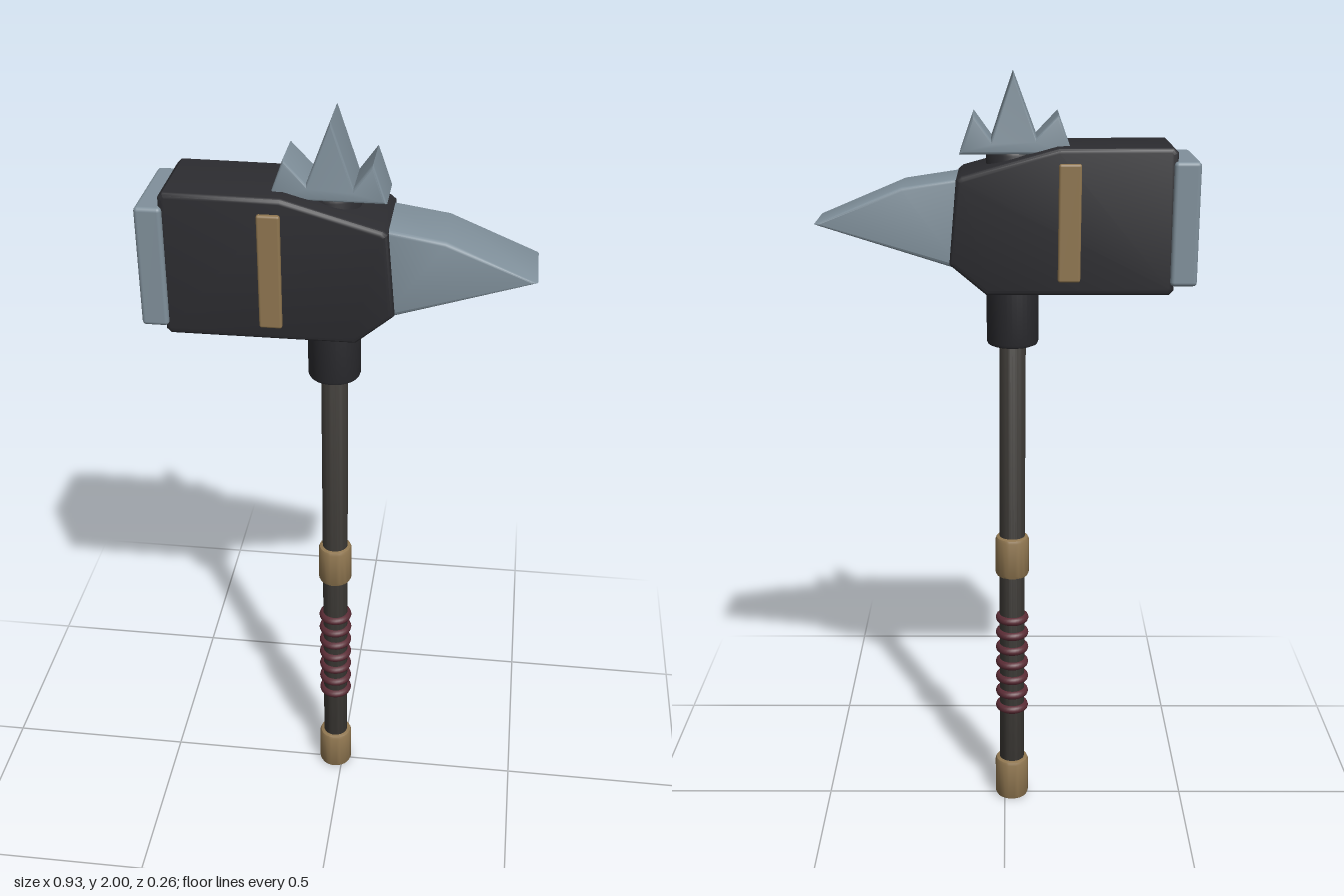
import * as THREE from 'three';
import { toCreasedNormals } from 'three/addons/utils/BufferGeometryUtils.js';
import { RoundedBoxGeometry } from 'three/addons/geometries/RoundedBoxGeometry.js';

const AXIS = -0.02; // x of the shaft

const paint = (color) => new THREE.MeshStandardMaterial({ color });

export function createModel() {
  const model = new THREE.Group();
  const iron = paint(0x2c2c30), steel = paint(0x80909b), brass = paint(0x8f7650);
  const wood = paint(0x3d3a36), leather = paint(0x5a2c35);

  const add = (name, geometry, material, x = 0, y = 0, z = 0) => {
    const mesh = new THREE.Mesh(geometry, material);
    mesh.name = name;
    mesh.position.set(x, y, z);
    model.add(mesh);
    return mesh;
  };

  // Upright round bar with softened rims
  const bar = (name, r, y0, y1, material, b = 0.008) => {
    const profile = [[0, y0], [r - b, y0], [r - b * 0.3, y0 + b * 0.3], [r, y0 + b],
      [r, y1 - b], [r - b * 0.3, y1 - b * 0.3], [r - b, y1], [0, y1]]
      .map(([x, y]) => new THREE.Vector2(x, y));
    const geometry = toCreasedNormals(new THREE.LatheGeometry(profile, 32), 0.6);
    return add(name, geometry, material, AXIS);
  };

  // Side profile extruded along z, bevelled inside its outline
  const slab = (name, points, halfDepth, bevel, material) => {
    const shape = new THREE.Shape(points.map(([x, y]) => new THREE.Vector2(x, y)));
    const geometry = new THREE.ExtrudeGeometry(shape, {
      depth: 2 * (halfDepth - bevel), bevelEnabled: true, bevelThickness: bevel,
      bevelSize: bevel, bevelOffset: -bevel, bevelSegments: 3,
    });
    geometry.translate(0, 0, bevel - halfDepth);
    return add(name, toCreasedNormals(geometry, 0.6), material);
  };

  // Shaft and its fittings
  bar('shaft', 0.034, 0.01, 1.4, wood);
  bar('pommel', 0.046, 0, 0.12, brass, 0.01);
  bar('shaftBand', 0.045, 0.68, 0.795, brass, 0.01);
  bar('collar', 0.066, 1.325, 1.815, iron, 0.01);

  // Leather grip rings
  for (let i = 0; i < 7; i++) {
    const ring = add('gripRing', new THREE.TorusGeometry(0.033, 0.012, 10, 32), leather,
      AXIS, 0.283 + i * 0.045);
    ring.rotation.x = Math.PI / 2;
  }

  // Hammer head
  slab('head', [[-0.415, 1.487], [-0.403, 1.475], [0.045, 1.475], [0.135, 1.55],
    [0.117, 1.755], [0.105, 1.765], [-0.13, 1.83], [-0.403, 1.832], [-0.415, 1.82]],
  0.118, 0.012, iron);

  // Striking plate
  add('strikingPlate', new RoundedBoxGeometry(0.065, 0.3, 0.26, 3, 0.01), steel, -0.437, 1.65);

  // Trim plates on both cheeks
  for (const side of [1, -1]) {
    add('cheekTrim', new RoundedBoxGeometry(0.055, 0.285, 0.03, 3, 0.006), brass,
      -0.157, 1.652, side * 0.114);
  }

  // Rear spike
  slab('spike', [[0.105, 1.535], [0.125, 1.538], [0.465, 1.645], [0.25, 1.735], [0.105, 1.757]],
    0.092, 0.01, steel);

  // Crown of three points
  slab('crown', [[-0.165, 1.81], [0.11, 1.81], [0.077, 1.905], [0.033, 1.845], [-0.02, 2],
    [-0.077, 1.85], [-0.13, 1.905]], 0.068, 0.008, steel);

  return model;
}
